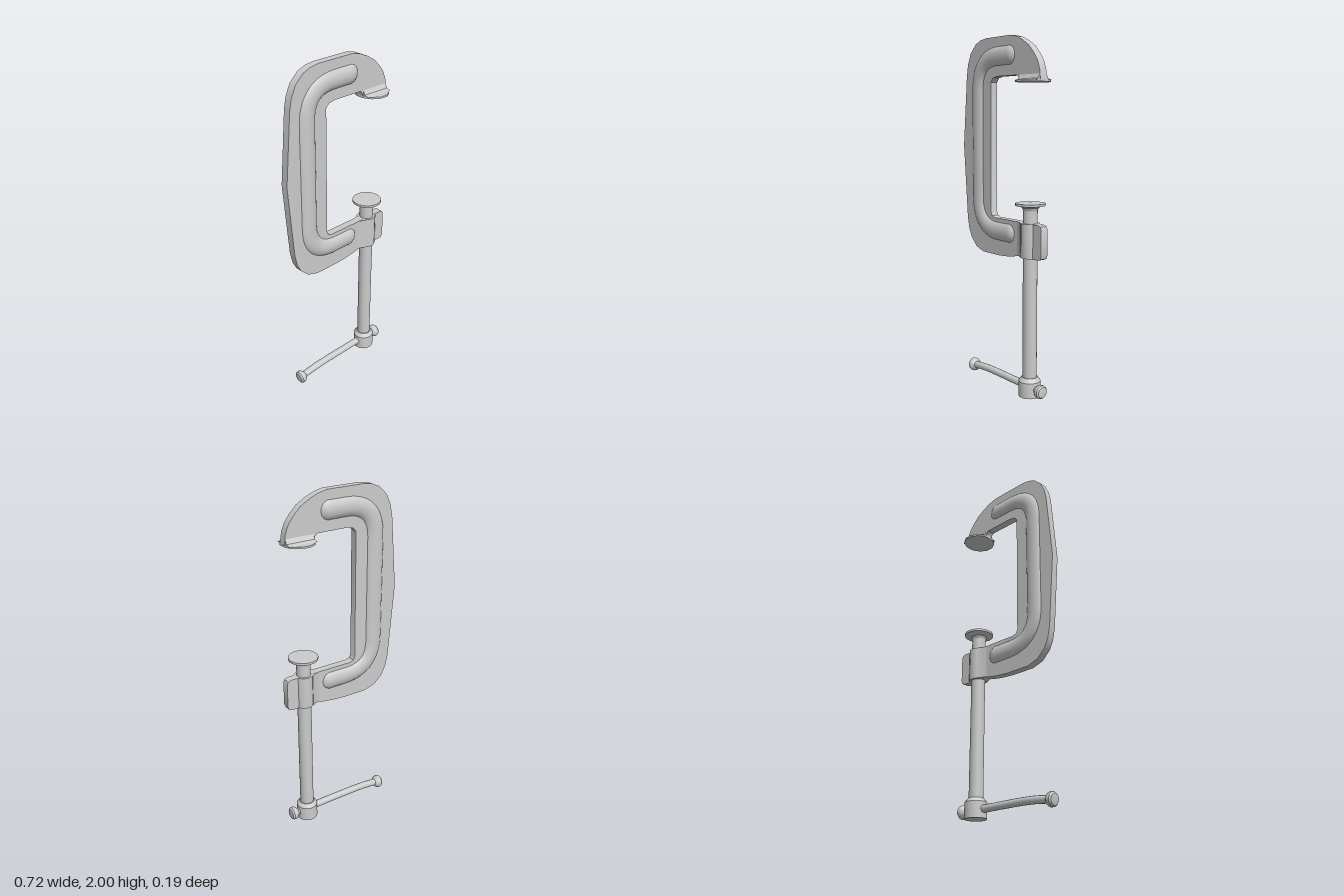
import * as THREE from 'three';
import { toCreasedNormals } from 'three/addons/utils/BufferGeometryUtils.js';

const material = new THREE.MeshStandardMaterial({ color: 0xcccccc });
const SCREW_X = 0.238;

const v2 = ([x, y]) => new THREE.Vector2(x, y);

function add(parent, name, geometry, x = 0, y = 0, z = 0) {
  const mesh = new THREE.Mesh(geometry, material);
  mesh.name = name;
  mesh.position.set(x, y, z);
  parent.add(mesh);
  return mesh;
}

// Turned part from [radius, height] pairs, bottom to top
const turned = (profile, sides = 20) =>
  toCreasedNormals(new THREE.LatheGeometry(profile.map(v2), sides), 0.6);

function extruded(points, depth) {
  const g = new THREE.ExtrudeGeometry(new THREE.Shape(points.map(v2)), { depth, bevelEnabled: false });
  g.translate(0, 0, -depth / 2);
  return toCreasedNormals(g, 0.65);
}

export function createModel() {
  const model = new THREE.Group();
  model.name = 'clamp';

  // Flat C-shaped frame
  const outline = [
    [-0.135, 2], [0.09, 2], [0.145, 1.987], [0.195, 1.965], [0.245, 1.935], [0.285, 1.895],
    [0.315, 1.855], [0.333, 1.81], [0.34, 1.755], [0.165, 1.755], [0.163, 1.77], [0.15, 1.785],
    [-0.03, 1.785], [-0.07, 1.778], [-0.09, 1.755],
    [-0.09, 1.02], [-0.08, 0.998], [-0.055, 0.99],
    [0.33, 0.99], [0.348, 0.983], [0.355, 0.965], [0.355, 0.825], [0.348, 0.807], [0.33, 0.8],
    [0.16, 0.8], [0.12, 0.79], [0.06, 0.781], [-0.02, 0.775], [-0.165, 0.775], [-0.235, 0.797],
    [-0.285, 0.845], [-0.31, 0.895], [-0.325, 0.965],
    [-0.36, 1.395], [-0.325, 1.8], [-0.312, 1.865], [-0.285, 1.925], [-0.235, 1.973], [-0.19, 1.992],
  ].reverse();
  add(model, 'frame', extruded(outline, 0.044));

  // Rounded stiffening rib standing out on both faces
  const rib = new THREE.Group();
  rib.name = 'rib';
  rib.scale.z = 0.7;
  model.add(rib);
  const R = 0.061, left = -0.217, tip = 0.075, low = 0.915, high = 1.895, bend = 0.19;
  const p = (x, y) => new THREE.Vector3(x, y, 0);
  const path = new THREE.CurvePath();
  path.add(new THREE.LineCurve3(p(tip, high), p(left + bend, high)));
  path.add(new THREE.QuadraticBezierCurve3(p(left + bend, high), p(left, high), p(left, high - bend)));
  path.add(new THREE.LineCurve3(p(left, high - bend), p(left, low + bend)));
  path.add(new THREE.QuadraticBezierCurve3(p(left, low + bend), p(left, low), p(left + bend, low)));
  path.add(new THREE.LineCurve3(p(left + bend, low), p(tip, low)));
  add(rib, 'ribBar', new THREE.TubeGeometry(path, 64, R, 16));
  for (const y of [low, high]) add(rib, 'ribEnd', new THREE.SphereGeometry(R, 16, 12), tip, y);

  // Fixed jaw: thin pad with a coved flare into the frame
  const pad = add(model, 'fixedJawPad', new THREE.CylinderGeometry(0.098, 0.098, 0.01, 12), 0.253, 1.75);
  pad.geometry.rotateY(Math.PI / 12);
  pad.scale.x = 0.93;
  const cove = [[-0.06, 1.754], [0.06, 1.754], [0.035, 1.762], [0.022, 1.785], [-0.022, 1.785], [-0.035, 1.762]];
  add(model, 'fixedJawFlare', extruded(cove, 0.165).rotateY(Math.PI / 2), 0.253);

  // Threaded boss with fillet web blending into the lower arm
  add(model, 'screwBoss', turned([[0, 0.8], [0.053, 0.8], [0.053, 0.99], [0, 0.99]], 16), SCREW_X);
  const web = [[0.15, -0.022], [0.18, -0.03], [0.205, -0.045], [0.205, 0.045], [0.18, 0.03], [0.15, 0.022]];
  add(model, 'bossWeb', extruded(web, 0.188).rotateX(-Math.PI / 2), 0, 0.895);

  // Screw, swivel pad and handle socket
  add(model, 'screw', turned([[0.04, 0.1], [0.04, 1.07]]), SCREW_X);
  add(model, 'swivelPad', turned([
    [0.04, 1.06], [0.046, 1.075], [0.062, 1.084], [0.083, 1.087], [0.083, 1.1], [0, 1.103],
  ], 24), SCREW_X);
  add(model, 'handleSocket', turned([
    [0, 0.012], [0.062, 0.012], [0.062, 0.1], [0.045, 0.122], [0, 0.122],
  ]), SCREW_X);

  // Slightly bent sliding handle with a knob at each end
  const bar = new THREE.CatmullRomCurve3([p(0.31, 0.06), p(0.1, 0.06), p(-0.12, 0.058), p(-0.2, 0.053), p(-0.285, 0.043)]);
  add(model, 'handleBar', new THREE.TubeGeometry(bar, 24, 0.021, 14));
  const knob = [[0, 0], [0.021, 0], [0.036, 0.014], [0.039, 0.022], [0.038, 0.036], [0.03, 0.045], [0, 0.049]];
  add(model, 'rightEndKnob', turned(knob), -0.266, 0.045).rotation.z = Math.PI / 2 + 0.12;
  add(model, 'leftEndKnob', turned(knob), 0.306, 0.06).rotation.z = -Math.PI / 2;

  return model;
}
